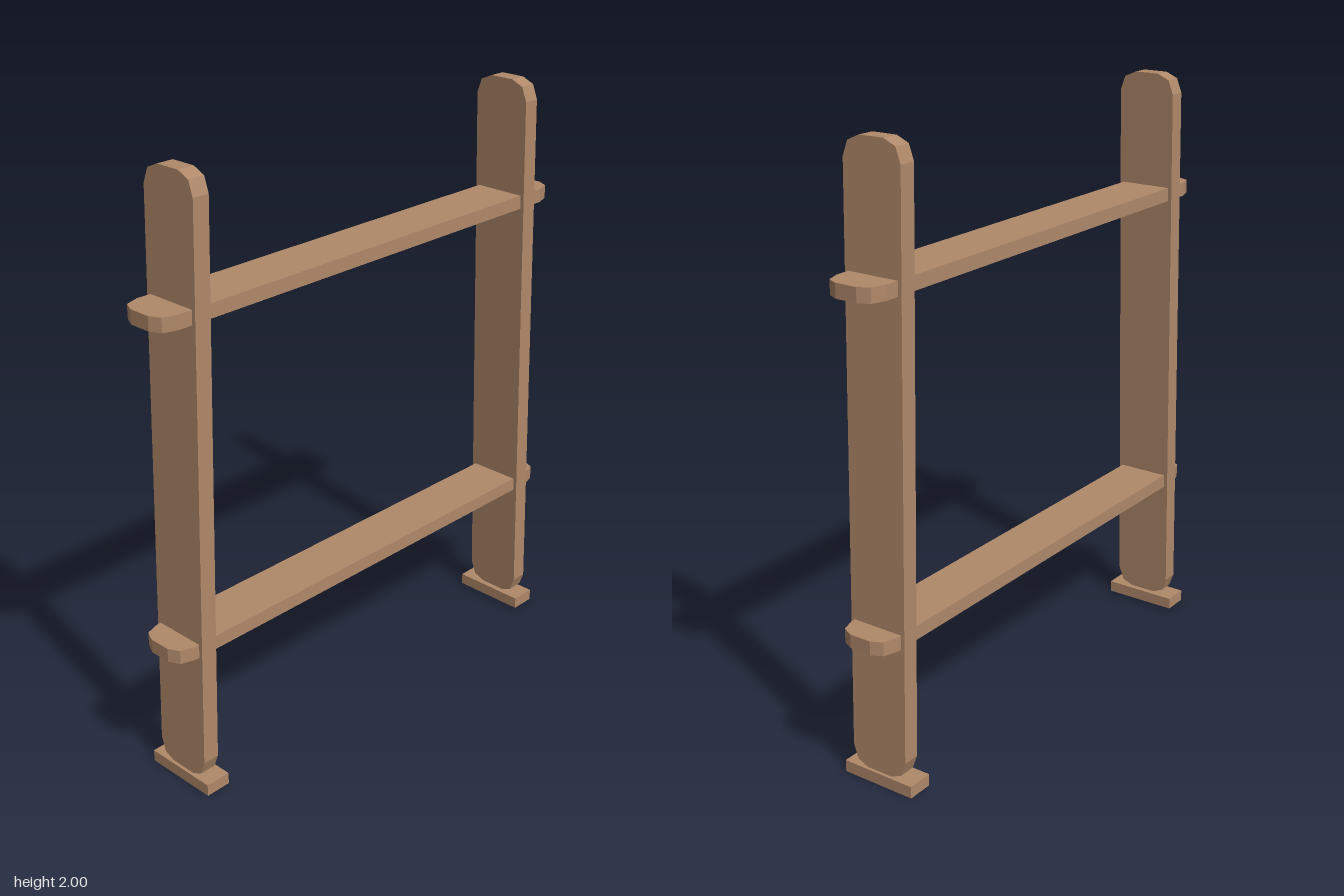
import * as THREE from 'three';

// Plank outline in XY with bevelled round ends, from y0 to y1
function plank(halfWidth, y0, y1, bevel, depth) {
  const cuts = [[halfWidth, bevel], [halfWidth * 0.83, bevel * 0.28], [halfWidth * 0.42, 0]];
  const right = [
    ...cuts.map(([x, d]) => [x, y0 + d]).reverse(),
    ...cuts.map(([x, d]) => [x, y1 - d]),
  ];
  const left = right.map(([x, y]) => [-x, y]).reverse();
  const shape = new THREE.Shape([...right, ...left].map(([x, y]) => new THREE.Vector2(x, y)));
  const geometry = new THREE.ExtrudeGeometry(shape, { depth, bevelEnabled: false });
  return geometry.translate(0, 0, -depth / 2);
}

export function createModel() {
  const group = new THREE.Group();
  const wood = new THREE.MeshStandardMaterial({ color: 0xb0896a, flatShading: true });
  wood.name = 'wood';

  const add = (name, geometry) => {
    const mesh = new THREE.Mesh(geometry, wood);
    mesh.name = name;
    group.add(mesh);
    return mesh;
  };

  for (const [side, sign] of [['front', 1], ['back', -1]]) {
    // Upright leaning inwards towards the top
    const post = plank(0.103, 0.038, 2, 0.066, 0.057);
    const p = post.attributes.position;
    for (let i = 0; i < p.count; i++) {
      p.setZ(i, p.getZ(i) + sign * (0.776 - 0.031 * p.getY(i)));
    }
    post.computeVertexNormals();
    add(side + 'Post', post);

    // Foot block under the upright
    add(side + 'Foot', new THREE.BoxGeometry(0.262, 0.04, 0.088))
      .position.set(-0.002, 0.02, sign * 0.77);
  }

  // Crossboards passing through both uprights
  for (const [name, y] of [['lowerBoard', 0.51], ['upperBoard', 1.59]]) {
    const board = plank(0.09, -0.869, 0.869, 0.065, 0.046).rotateX(Math.PI / 2);
    add(name, board).position.y = y;
  }
  return group;
}
